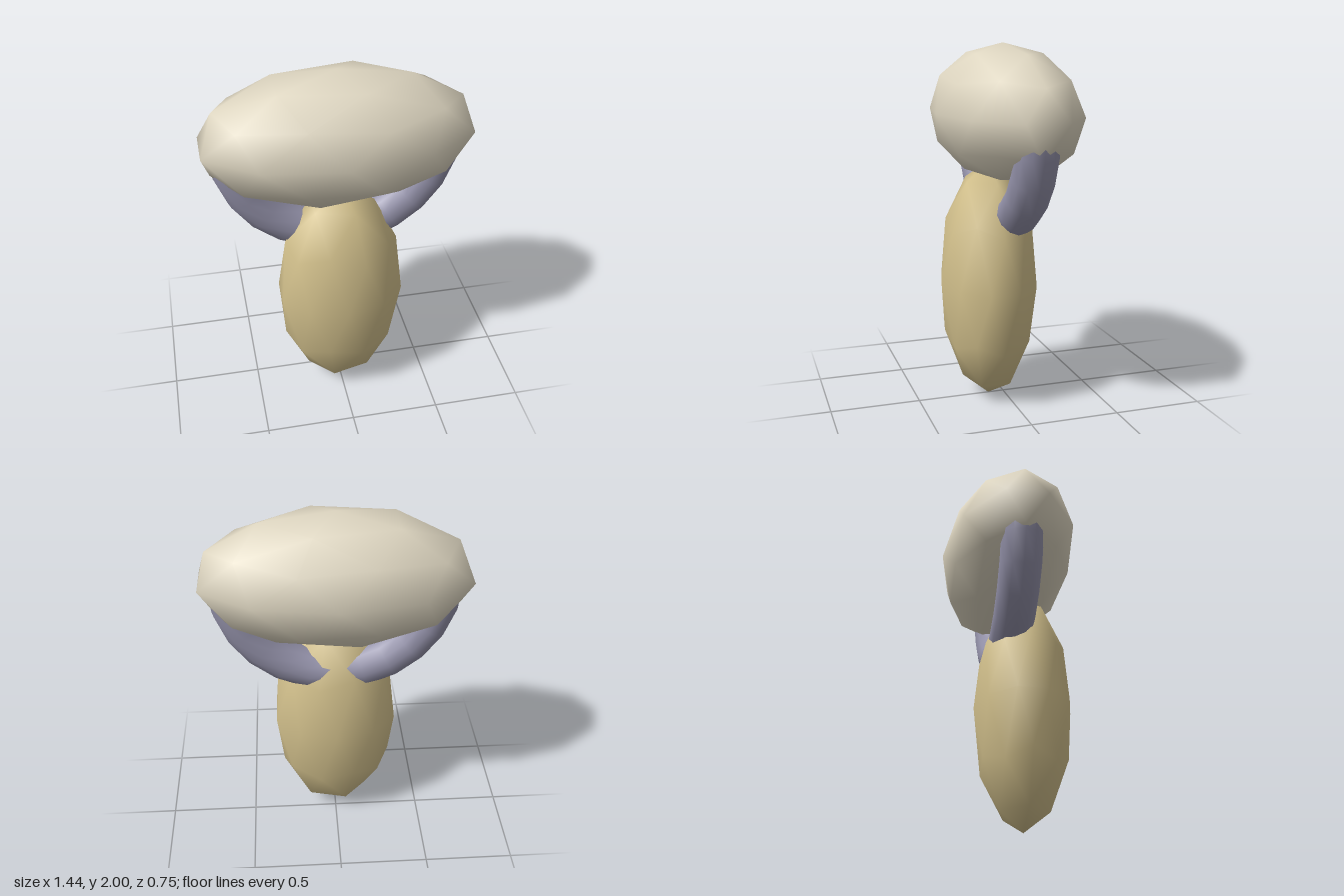
import * as THREE from 'three';

const material = (name, color) => {
  const m = new THREE.MeshStandardMaterial({ color });
  m.name = name;
  return m;
};

// Smooth 80-faced ellipsoid with a vertex at each pole of the y axis
function makeEllipsoid(rx, ry, rz) {
  const verts = [0, 1, 0];
  const faces = [];
  const r = 2 / Math.sqrt(5), h = 1 / Math.sqrt(5);
  for (const [y, start] of [[h, 0], [-h, Math.PI / 5]]) {
    for (let k = 0; k < 5; k++) {
      const a = start + (k * 2 * Math.PI) / 5;
      verts.push(r * Math.cos(a), y, -r * Math.sin(a));
    }
  }
  verts.push(0, -1, 0);
  for (let k = 0; k < 5; k++) {
    const n = (k + 1) % 5;
    const u = 1 + k, u2 = 1 + n, l = 6 + k, l2 = 6 + n;
    faces.push(0, u, u2, u, l, u2, l, l2, u2, 11, l2, l);
  }
  const geometry = new THREE.PolyhedronGeometry(verts, faces, 1, 1);
  geometry.scale(rx, ry, rz);
  return geometry;
}

export function createModel() {
  const cream = material('cream', 0xddd5c0);
  const sand = material('sand', 0xd2c08c);
  const mauve = material('mauve grey', 0x9492aa);

  const model = new THREE.Group();
  const add = (name, geometry, mat, x, y, z) => {
    const mesh = new THREE.Mesh(geometry, mat);
    mesh.name = name;
    mesh.position.set(x, y, z);
    model.add(mesh);
  };

  // Wide oval carried on top
  add('topOval', makeEllipsoid(0.755, 0.377, 0.377), cream, 0, 1.623, 0);

  // Upright oval body, slightly forward
  add('body', makeEllipsoid(0.36, 0.678, 0.27), sand, 0, 0.678, 0.09);

  // Half ring forming both arms, passing through the body
  const arms = new THREE.TorusGeometry(0.57, 0.115, 12, 12, Math.PI);
  arms.rotateZ(Math.PI);
  add('arms', arms, mauve, 0, 1.61, 0);

  return model;
}
